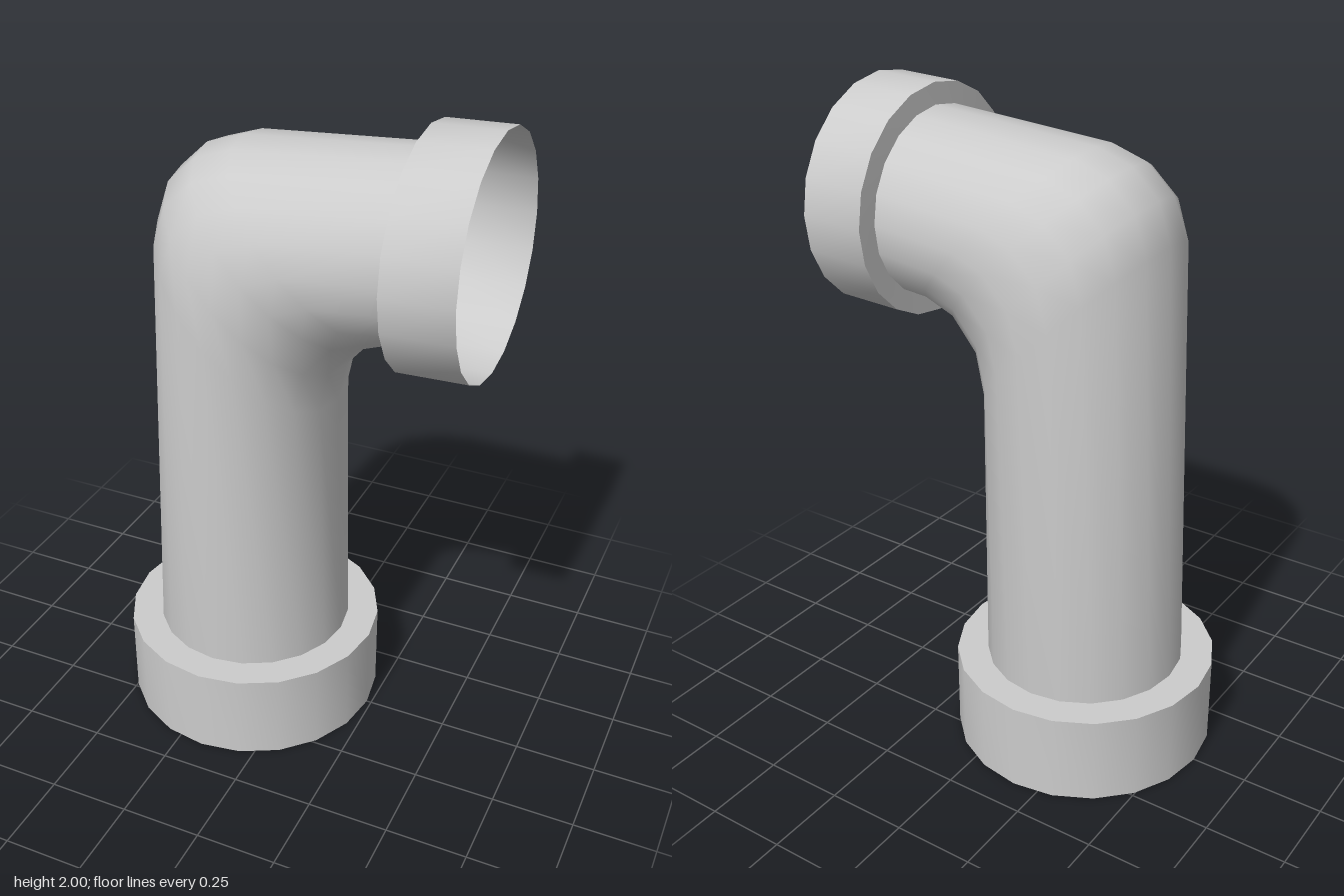
import * as THREE from 'three';
import { toCreasedNormals } from 'three/addons/utils/BufferGeometryUtils.js';

const SIDES = 20;
const material = new THREE.MeshStandardMaterial({ color: 0xcccccc, side: THREE.DoubleSide });

// Skin a tube over elliptical rings. Each ring is [outerX, outerY, innerX, innerY, halfDepth]:
// two opposite points in the bend plane and the half width across it.
function loft(name, rings, crease) {
  const positions = [], index = [];
  rings.forEach(([ox, oy, ix, iy, depth], r) => {
    for (let s = 0; s < SIDES; s++) {
      const a = (s / SIDES) * Math.PI * 2, c = Math.cos(a);
      positions.push(
        (ox + ix) / 2 + ((ox - ix) / 2) * c,
        (oy + iy) / 2 + ((oy - iy) / 2) * c,
        depth * Math.sin(a)
      );
      if (r === rings.length - 1) continue;
      const i = r * SIDES + s, j = r * SIDES + ((s + 1) % SIDES);
      index.push(i, j, i + SIDES, j, j + SIDES, i + SIDES);
    }
  });
  const geometry = new THREE.BufferGeometry();
  geometry.setAttribute('position', new THREE.Float32BufferAttribute(positions, 3));
  geometry.setIndex(index);
  const mesh = new THREE.Mesh(toCreasedNormals(geometry, crease), material);
  mesh.name = name;
  return mesh;
}

export function createModel() {
  const group = new THREE.Group();
  group.name = 'elbowPipe';

  // Tapered upright, bend and horizontal outlet
  group.add(loft('pipe', [
    [-0.475, 0.28, 0.137, 0.28, 0.31],
    [-0.415, 1.65, 0.115, 1.12, 0.338],
    [-0.375, 1.77, 0.14, 1.245, 0.337],
    [-0.29, 1.85, 0.222, 1.34, 0.33],
    [-0.18, 1.887, 0.32, 1.375, 0.32],
    [0.36, 1.928, 0.367, 1.368, 0.29],
  ], 0.9));

  // Thick base collar: inner ledge, bore, underside, outer wall, shoulder
  const baseX = -0.17;
  const baseProfile = [
    [0.31, 0.28], [0.25, 0.28], [0.25, 0.23], [0.315, 0.23],
    [0.315, 0], [0.405, 0], [0.405, 0.28], [0.307, 0.28],
  ];
  group.add(loft('baseCollar',
    baseProfile.map(([r, y]) => [baseX - r, y, baseX + r, y, r]), 0.6));

  // Thin open collar on the outlet, with a shoulder at its back
  group.add(loft('outletCollar', [
    [0.36, 1.928, 0.367, 1.368, 0.29],
    [0.362, 1.992, 0.366, 1.305, 0.355],
    [0.566, 2.0, 0.573, 1.31, 0.35],
  ], 0.6));

  return group;
}
